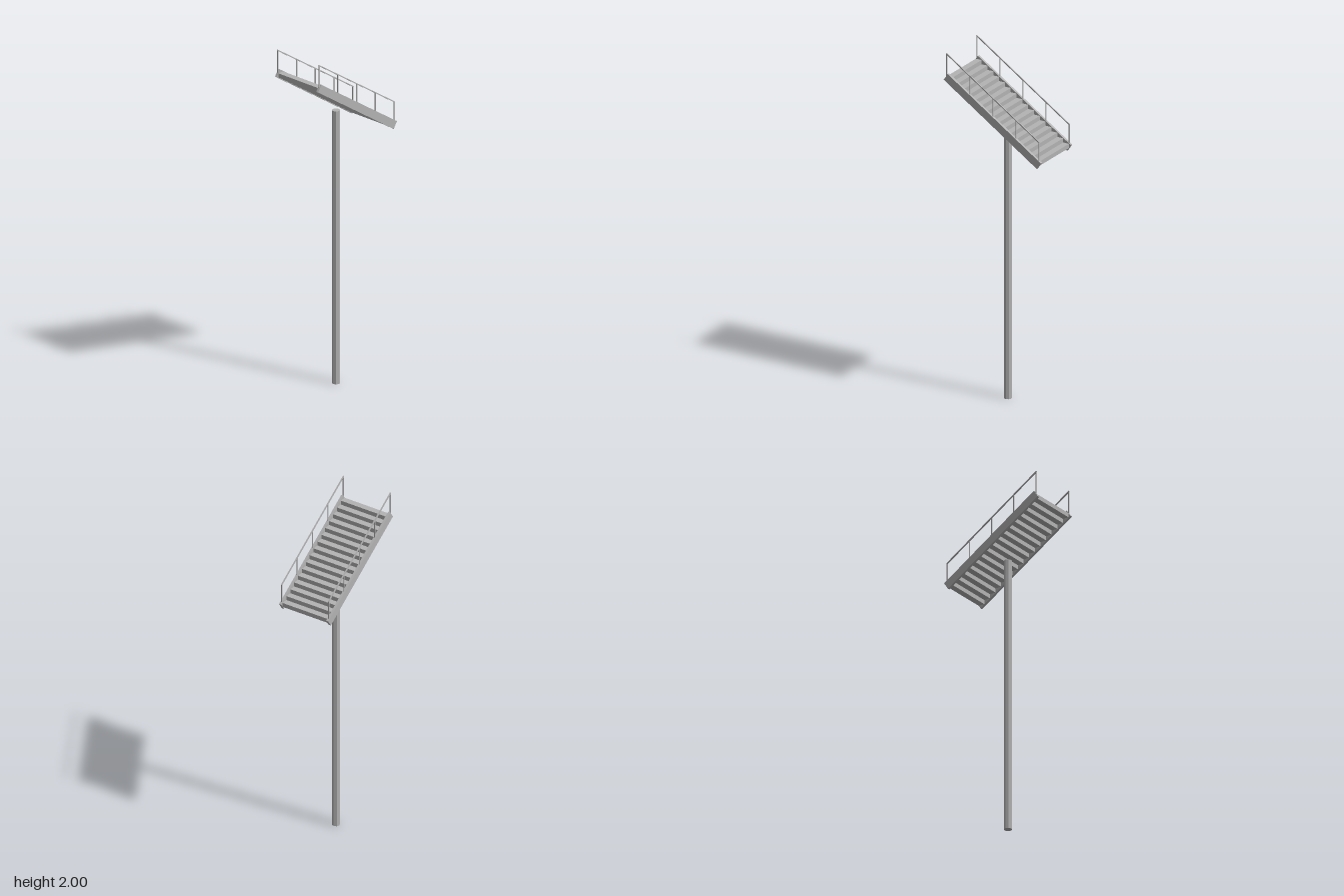
import * as THREE from 'three';

const steel = new THREE.MeshStandardMaterial({ color: 0xb3b3b3, flatShading: true });
steel.name = 'grey steel';

// Stair slope: total run and rise about the centre of the flight
const RUN = 0.592, RISE = 0.394, MID_Y = 1.665, STEPS = 16;
const LENGTH = Math.hypot(RUN, RISE);
const ANGLE = -Math.atan2(RISE, RUN);
const SIDE_Z = 0.154;
const RAIL_HEIGHT = 0.132;
const slopeY = x => MID_Y - x * RISE / RUN;

function add(parent, name, geometry, x, y, z) {
  const mesh = new THREE.Mesh(geometry, steel);
  mesh.name = name;
  mesh.position.set(x, y, z);
  parent.add(mesh);
  return mesh;
}

export function createModel() {
  const model = new THREE.Group();
  model.name = 'stairOnPole';

  // Supporting pole
  add(model, 'pole', new THREE.CylinderGeometry(0.0225, 0.0225, 1.6, 8), 0, 0.8, 0);

  // Steps descending towards +x
  const steps = new THREE.Group();
  steps.name = 'steps';
  model.add(steps);
  const run = RUN / STEPS, rise = RISE / STEPS;
  const stepGeometry = new THREE.BoxGeometry(run, rise, 0.294);
  for (let i = 0; i < STEPS; i++) {
    const x = -RUN / 2 + (i + 0.5) * run;
    add(steps, 'step', stepGeometry, x, slopeY(x), 0);
  }

  // Stringer, handrail and posts on each side
  const stringerGeometry = new THREE.BoxGeometry(LENGTH, 0.046, 0.014);
  const railGeometry = new THREE.BoxGeometry(LENGTH, 0.006, 0.006);
  const postGeometry = new THREE.BoxGeometry(0.005, RAIL_HEIGHT, 0.005);
  for (const side of [-1, 1]) {
    const z = side * SIDE_Z;
    const flank = new THREE.Group();
    flank.name = side > 0 ? 'frontSide' : 'backSide';
    model.add(flank);
    add(flank, 'stringer', stringerGeometry, 0, MID_Y, z).rotation.z = ANGLE;
    add(flank, 'handrail', railGeometry, 0, MID_Y + RAIL_HEIGHT + 0.002, z).rotation.z = ANGLE;
    for (let i = 0; i < 5; i++) {
      const x = (i / 4 - 0.5) * (RUN - 0.006);
      add(flank, 'post', postGeometry, x, slopeY(x) + RAIL_HEIGHT / 2, z);
    }
  }
  return model;
}
